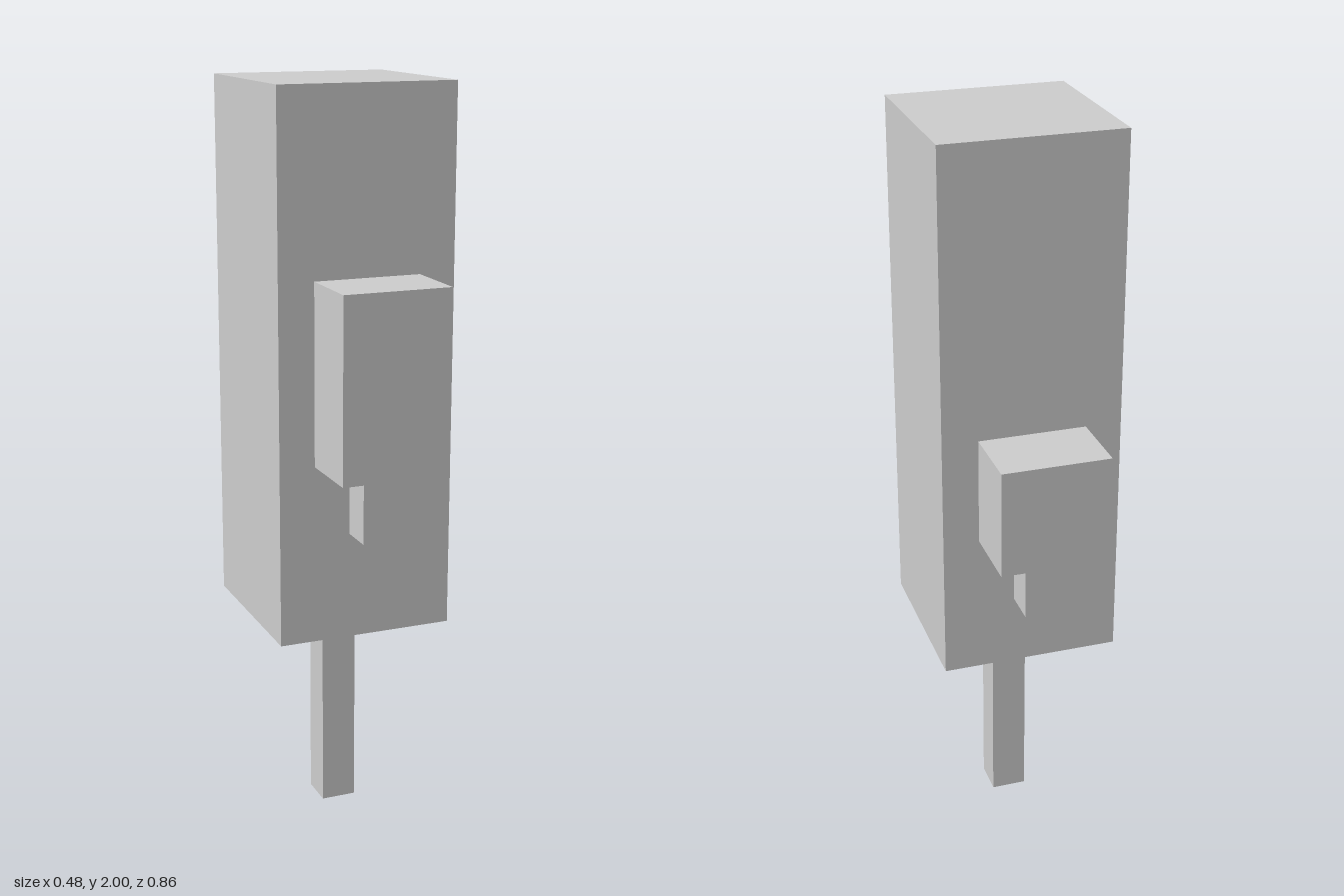
import * as THREE from 'three';

// The whole model sits on a block grid, 21 blocks tall
const U = 2 / 21;

export function createModel() {
  const model = new THREE.Group();
  const material = new THREE.MeshStandardMaterial({ color: 0xcccccc, flatShading: true });

  // Box given in blocks: width, bottom and top, back and front
  function block(name, width, y0, y1, z0, z1, parent = model) {
    const geometry = new THREE.BoxGeometry(width * U, (y1 - y0) * U, (z1 - z0) * U);
    const mesh = new THREE.Mesh(geometry, material);
    mesh.name = name;
    mesh.position.set(0, (y0 + y1) * U / 2, (z0 + z1) * U / 2);
    parent.add(mesh);
  }

  // Trunk and tall main crown
  block('trunk', 1, 0, 6, -0.5, 0.5);
  block('crown', 5, 6, 21, -2.5, 2.5);

  // Side clumps, each with a short branch stub below, set against the crown
  function clump(name, side, bottom, top) {
    const group = new THREE.Group();
    group.name = name;
    const span = (depth) => (side > 0 ? [2.5, 2.5 + depth] : [-2.5 - depth, -2.5]);
    block('leafBlock', 3, bottom, top, ...span(2), group);
    block('branchStub', 1, bottom - 2, bottom, ...span(1), group);
    model.add(group);
  }
  clump('frontClump', 1, 11, 16);
  clump('backClump', -1, 10, 13);

  return model;
}
